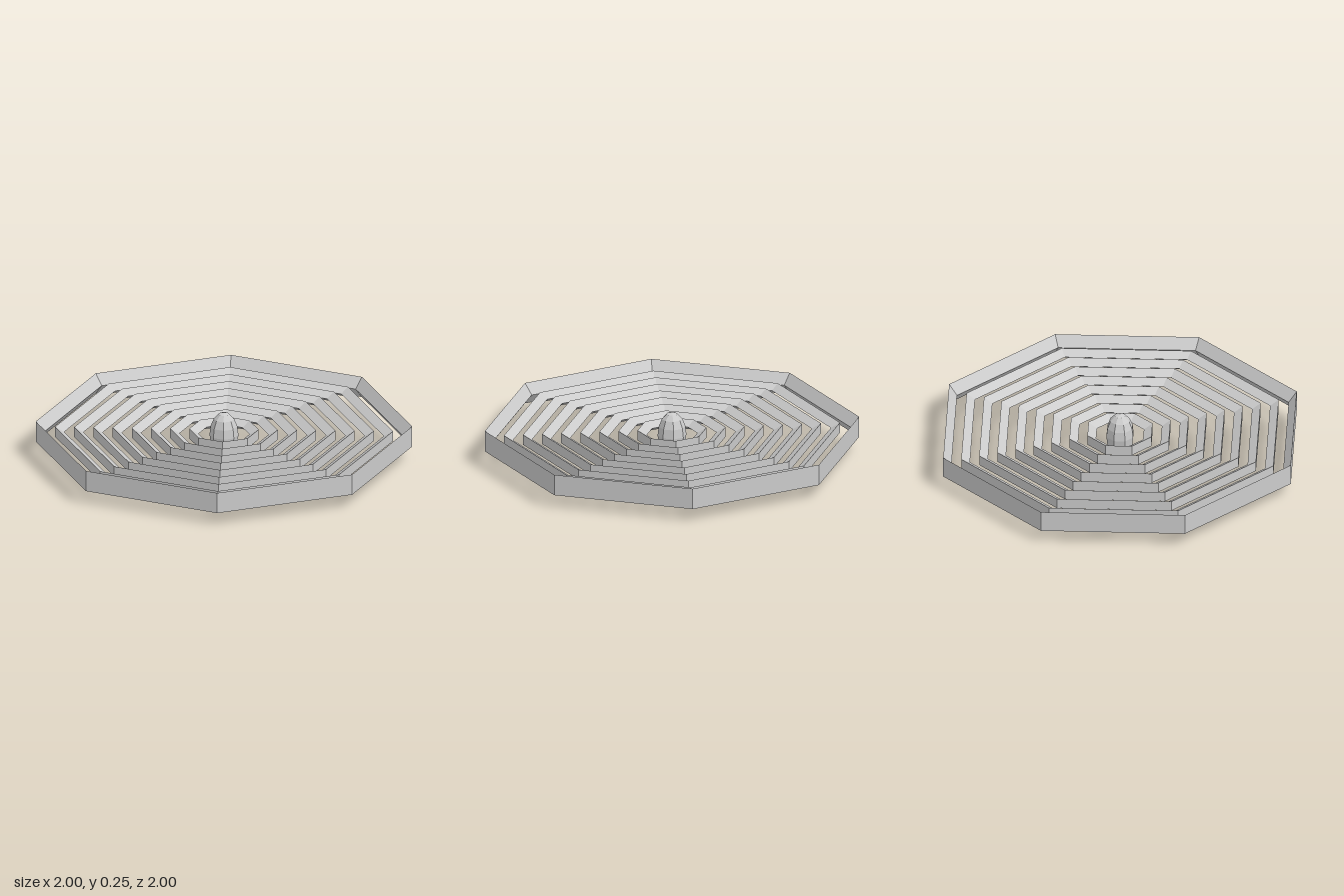
import * as THREE from 'three';

const SIDES = 8;
const MID = 0.13; // height of the plane the rings share

export function createModel() {
  const group = new THREE.Group();
  const material = new THREE.MeshStandardMaterial({ color: 0xcccccc, flatShading: true });

  // Octagonal ring of triangular section: upright outer wall, edge pointing inward
  function addRing(name, radius, width, height) {
    const profile = [
      new THREE.Vector2(radius, -height / 2),
      new THREE.Vector2(radius, height / 2),
      new THREE.Vector2(radius - width, 0),
      new THREE.Vector2(radius, -height / 2),
    ];
    const ring = new THREE.Mesh(new THREE.LatheGeometry(profile, SIDES), material);
    ring.name = name;
    ring.position.y = MID;
    group.add(ring);
  }

  // Tall rim around eight evenly spaced slim rings
  addRing('outerRim', 1, 0.046, 0.115);
  for (let i = 1; i <= 8; i++) addRing(`innerRing${i}`, 1 - 0.102 * i, 0.049, 0.056);

  // Egg-shaped hub in the middle
  const hub = new THREE.Mesh(new THREE.SphereGeometry(1, SIDES, 8), material);
  hub.name = 'hub';
  hub.scale.set(0.077, 0.127, 0.077);
  hub.position.y = 0.127;
  group.add(hub);

  return group;
}
